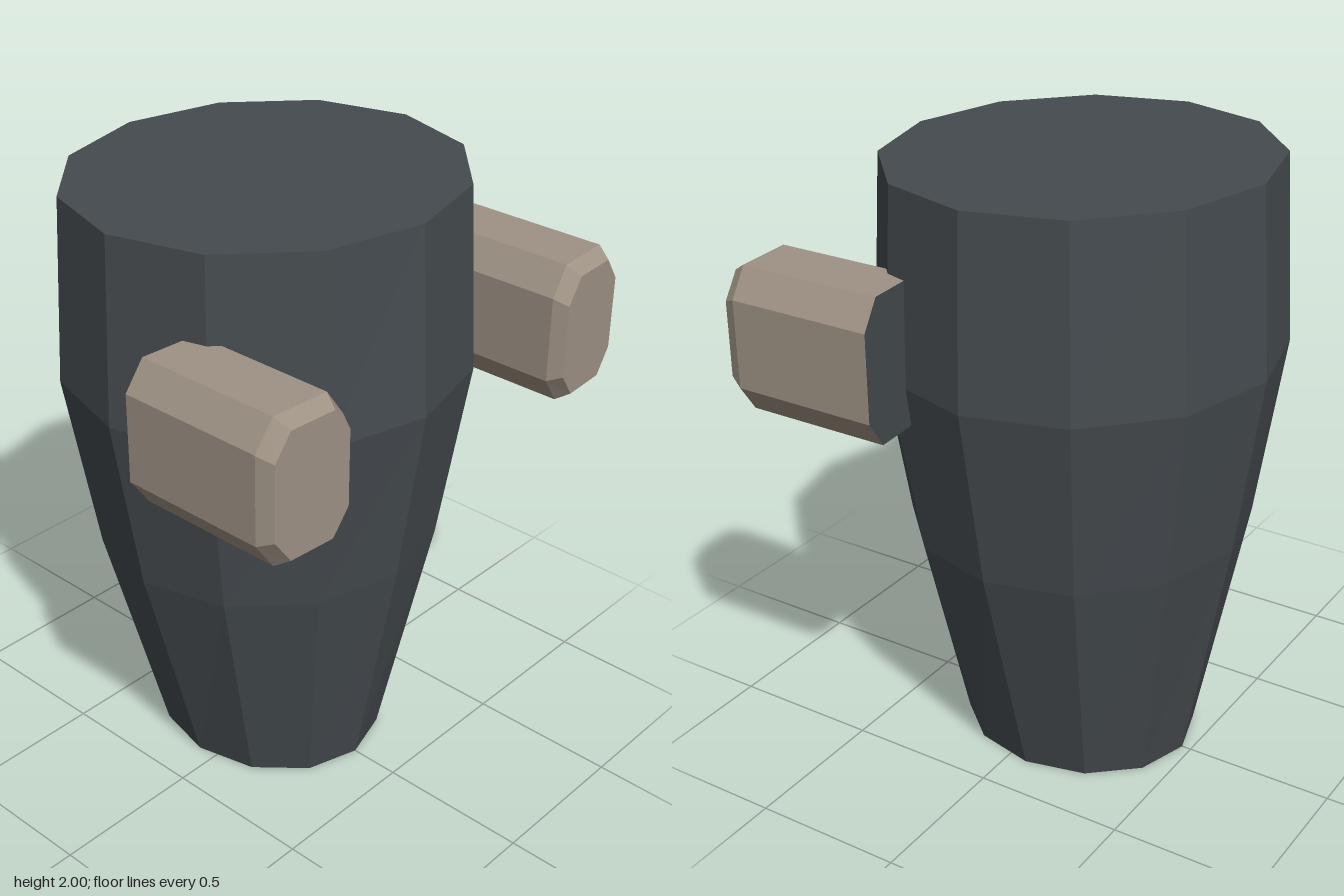
import * as THREE from 'three';

const darkSlate = new THREE.MeshStandardMaterial({ color: 0x454b4f });
darkSlate.name = 'dark slate';
const stoneTan = new THREE.MeshStandardMaterial({ color: 0x9e9284 });
stoneTan.name = 'stone tan';

// Skins a list of rings, each counter-clockwise about the direction of travel.
// Group 0 holds the sides and end cap, group 1 the start cap.
function loft(rings) {
  const points = [];
  const n = rings[0].length;
  const tri = (...corners) => corners.forEach((p) => points.push(...p));
  for (let k = 0; k + 1 < rings.length; k++) {
    for (let i = 0; i < n; i++) {
      const j = (i + 1) % n;
      const [a, b, c, d] = [rings[k][i], rings[k][j], rings[k + 1][j], rings[k + 1][i]];
      tri(a, b, c);
      tri(a, c, d);
    }
  }
  const last = rings[rings.length - 1];
  for (let i = 1; i + 1 < n; i++) tri(last[0], last[i], last[i + 1]);
  const split = points.length / 3;
  for (let i = 1; i + 1 < n; i++) tri(rings[0][0], rings[0][i + 1], rings[0][i]);

  const geometry = new THREE.BufferGeometry();
  geometry.setAttribute('position', new THREE.Float32BufferAttribute(points, 3));
  geometry.addGroup(0, split, 0);
  geometry.addGroup(split, points.length / 3 - split, 1);
  geometry.computeVertexNormals();
  return geometry;
}

// Twelve-sided ring of the body
function bodyRing([y, rx, rz]) {
  return Array.from({ length: 12 }, (_, i) => {
    const a = (i / 12) * Math.PI * 2;
    return [Math.sin(a) * rx, y, Math.cos(a) * rz - 0.068];
  });
}

// Chamfered rectangle, slightly skewed so its outer side sits further back
function lugRing(side, z, halfW, halfH, cutX, cutY) {
  const w = halfW - cutX;
  const h = halfH - cutY;
  const corners = [
    [halfW, -h], [halfW, h], [w, halfH], [-w, halfH],
    [-halfW, h], [-halfW, -h], [-w, -halfH], [w, -halfH],
  ];
  const ring = corners.map(([x, y]) => [side * (0.639 + x), 1.503 + y, z - x * 0.065]);
  return side < 0 ? ring.reverse() : ring;
}

export function createModel() {
  const model = new THREE.Group();
  model.name = 'taperedBodyWithLugs';

  // Tapered body: height, half width, half depth
  const body = new THREE.Mesh(
    loft([[0, 0.35, 0.4], [0.8, 0.57, 0.55], [1.4, 0.675, 0.637], [2, 0.65, 0.6]].map(bodyRing)),
    [darkSlate, darkSlate],
  );
  body.name = 'body';
  model.add(body);

  // Forward-pointing lugs with bevelled fronts and dark rear faces
  for (const side of [1, -1]) {
    const lug = new THREE.Mesh(
      loft([
        lugRing(side, 0.164, 0.16, 0.23, 0.063, 0.09),
        lugRing(side, 0.648, 0.16, 0.23, 0.063, 0.09),
        lugRing(side, 0.695, 0.137, 0.2, 0.058, 0.08),
      ]),
      [stoneTan, darkSlate],
    );
    lug.name = side > 0 ? 'leftLug' : 'rightLug';
    model.add(lug);
  }
  return model;
}
